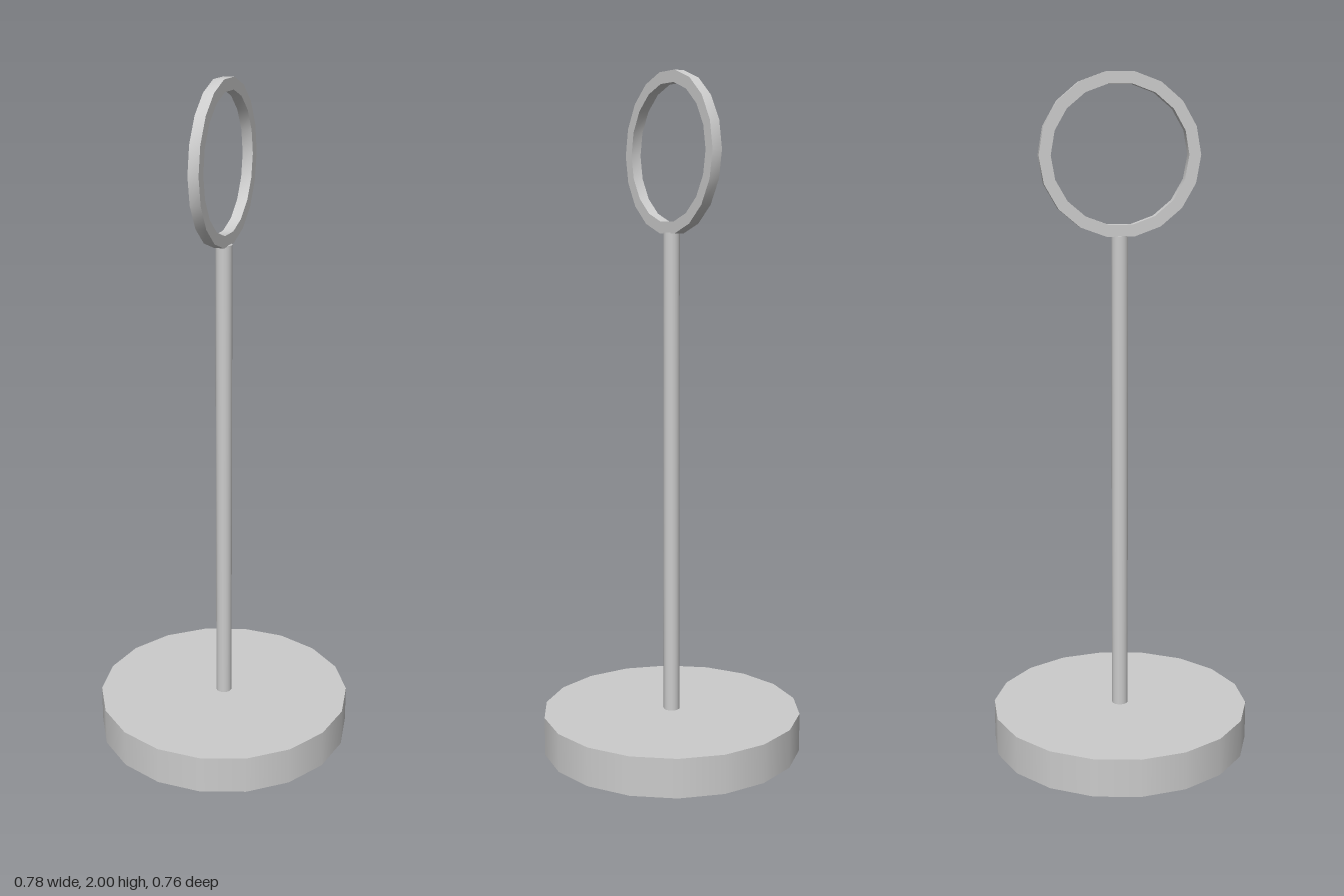
import * as THREE from 'three';
import { toCreasedNormals } from 'three/addons/utils/BufferGeometryUtils.js';

const SIDES = 18;
const material = new THREE.MeshStandardMaterial({ color: 0xcccccc });

function addPart(group, name, geometry, y) {
  const mesh = new THREE.Mesh(geometry, material);
  mesh.name = name;
  mesh.position.y = y;
  group.add(mesh);
}

// Upright disc or rod with a corner on the x axis
const rod = (radius, height) =>
  new THREE.CylinderGeometry(radius, radius, height, SIDES, 1, false, Math.PI / 2);

// Flat band of rectangular section, its axis along x
function band(inner, outer, width) {
  const h = width / 2;
  const section = [[inner, -h], [outer, -h], [outer, h], [inner, h], [inner, -h]]
    .map(([r, y]) => new THREE.Vector2(r, y));
  const geometry = new THREE.LatheGeometry(section, SIDES).rotateZ(Math.PI / 2);
  return toCreasedNormals(geometry, 0.6);
}

export function createModel() {
  const model = new THREE.Group();
  model.name = 'ringStand';

  const baseHeight = 0.115;
  const poleTop = 1.547;
  const ringOuter = 0.231;
  const ringY = 2 - ringOuter * Math.cos(Math.PI / SIDES); // flat side up

  addPart(model, 'base', rod(0.388, baseHeight), baseHeight / 2);
  addPart(model, 'pole', rod(0.024, poleTop - baseHeight), (poleTop + baseHeight) / 2);
  addPart(model, 'ring', band(0.197, ringOuter, 0.031), ringY);

  return model;
}
